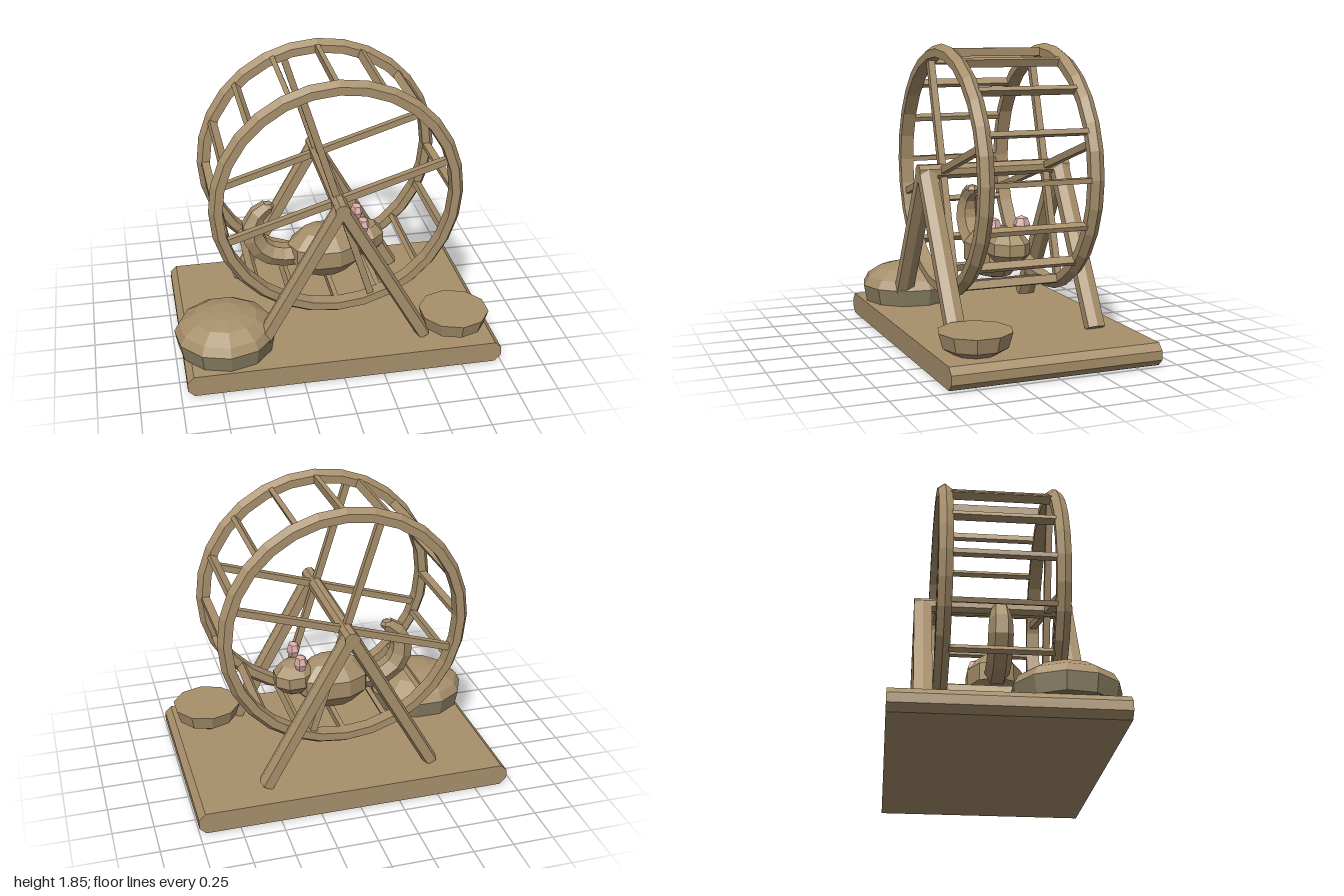
import * as THREE from 'three';

const mat = (name, color) => new THREE.MeshStandardMaterial({ name, color, flatShading: true });

export function createModel() {
  const model = new THREE.Group();
  model.name = 'exerciseWheel';
  const wood = mat('wood', 0xa78f6b);
  const moss = mat('mossyBrown', 0x8a8063);
  const pink = mat('earPink', 0xd8a8a6);
  const CX = 0.015, CY = 1.075;

  function add(name, geometry, material, x = 0, y = 0, z = 0, parent = model) {
    const mesh = new THREE.Mesh(geometry, material);
    mesh.name = name;
    mesh.position.set(x, y, z);
    parent.add(mesh);
    return mesh;
  }
  const lathe = (pts, sides) =>
    new THREE.LatheGeometry(pts.map(p => new THREE.Vector2(p[0], p[1])), sides);
  // Prism along z from a closed outline, centred on z = 0
  function prism(pts, depth) {
    const shape = new THREE.Shape(pts.map(p => new THREE.Vector2(p[0], p[1])));
    return new THREE.ExtrudeGeometry(shape, { depth, bevelEnabled: false }).translate(0, 0, -depth / 2);
  }

  // Base board with chamfered ends
  add('baseBoard', prism([
    [-0.92, 0], [0.96, 0], [1, 0.04], [1, 0.095], [0.96, 0.135],
    [-0.92, 0.135], [-0.96, 0.095], [-0.96, 0.04],
  ], 1.3), wood);

  // Wheel: two ridged rims, each with four spokes
  const wheel = new THREE.Group();
  wheel.name = 'wheel';
  wheel.position.set(CX, CY, 0);
  model.add(wheel);
  const rim = lathe([
    [0.695, -0.043], [0.745, -0.043], [0.775, 0], [0.745, 0.043], [0.695, 0.043], [0.695, -0.043],
  ], 28).rotateX(Math.PI / 2);
  for (const side of [-1, 1]) {
    add('rim', rim, wood, 0, 0, side * 0.342, wheel);
    for (let i = 0; i < 4; i++) {
      const spoke = new THREE.BoxGeometry(0.71, 0.042, 0.042).translate(0.355, 0, 0);
      add('spoke', spoke, wood, 0, 0, side * 0.342, wheel).rotation.z = 0.302 + i * Math.PI / 2;
    }
  }

  // Rungs joining the rims
  const rung = new THREE.BoxGeometry(0.05, 0.03, 0.62).translate(0.722, 0, 0);
  for (let i = 0; i < 16; i++) add('rung', rung, wood, 0, 0, 0, wheel).rotation.z = i * Math.PI / 8;

  // Axle
  const axle = new THREE.CylinderGeometry(0.048, 0.048, 1, 8).rotateY(Math.PI / 8).rotateX(Math.PI / 2);
  add('axle', axle, wood, 0, 0, 0, wheel);

  // A-frame legs, ridged along their outer and inner edges
  const run = 0.53, drop = 0.94, length = Math.hypot(run, drop);
  const legSection = [[-0.045, 0], [-0.03, -0.055], [0.03, -0.055], [0.045, 0], [0.03, 0.055], [-0.03, 0.055]];
  for (const z of [-0.445, 0.445]) {
    for (const side of [-1, 1]) {
      const leg = prism(legSection, length).rotateX(Math.PI / 2);
      add('standLeg', leg, wood, CX + side * run / 2, CY - drop / 2 + 0.005, z)
        .rotation.z = side * Math.atan2(run, drop);
    }
  }

  // Rodent: body, head and ears
  const rodent = new THREE.Group();
  rodent.name = 'rodent';
  model.add(rodent);
  const ball = (rx, ry, rz, w, h) => new THREE.SphereGeometry(1, w, h).scale(rx, ry, rz);
  add('body', ball(0.25, 0.175, 0.185, 10, 5), wood, 0, 0.555, 0, rodent);
  add('head', ball(0.145, 0.115, 0.13, 8, 5).rotateY(Math.PI / 8), wood, 0.25, 0.615, 0, rodent);
  for (const side of [-1, 1]) {
    add('ear', ball(0.043, 0.058, 0.055, 6, 4), pink, 0.228, 0.75, side * 0.095, rodent);
  }

  // Curled tail: a tube whose rings are scaled to swell in the middle
  const curve = new THREE.CatmullRomCurve3([
    [-0.36, 0.9], [-0.44, 0.83], [-0.465, 0.72], [-0.41, 0.6], [-0.31, 0.545], [-0.18, 0.54],
  ].map(p => new THREE.Vector3(p[0], p[1], 0)));
  const steps = 7, sides = 6;
  const tail = new THREE.TubeGeometry(curve, steps, 0.075, sides, false);
  const pos = tail.attributes.position, v = new THREE.Vector3();
  for (let i = 0; i < pos.count; i++) {
    const t = Math.floor(i / (sides + 1)) / steps;
    const centre = curve.getPointAt(t);
    const scale = 0.6 + 0.4 * Math.min(1, t * 3);
    v.fromBufferAttribute(pos, i).sub(centre).multiplyScalar(scale).add(centre);
    pos.setXYZ(i, v.x, v.y, v.z);
  }
  add('tail', tail, wood, 0, 0, 0, rodent);
  // Cap over the tip of the tail
  const tip = new THREE.SphereGeometry(0.043, 6, 4).scale(1, 0.8, 1);
  add('tailTip', tip, wood, -0.362, 0.895, 0, rodent);

  // Rounded mound with a mossy lower band
  const mound = new THREE.Group();
  mound.name = 'mound';
  mound.position.set(-0.69, 0, 0.335);
  model.add(mound);
  add('moundBand', lathe([[0, 0.135], [0.295, 0.135], [0.315, 0.24]], 11), moss, 0, 0, 0, mound);
  add('moundTop', lathe([[0.315, 0.24], [0.285, 0.295], [0.2, 0.35], [0.1, 0.375], [0, 0.38]], 11),
    wood, 0, 0, 0, mound);

  // Filled food bowl
  add('foodBowl', lathe([
    [0, 0.135], [0.13, 0.135], [0.195, 0.175], [0.22, 0.265], [0, 0.265],
  ], 10), wood, 0.75, 0, 0.415);

  return model;
}
